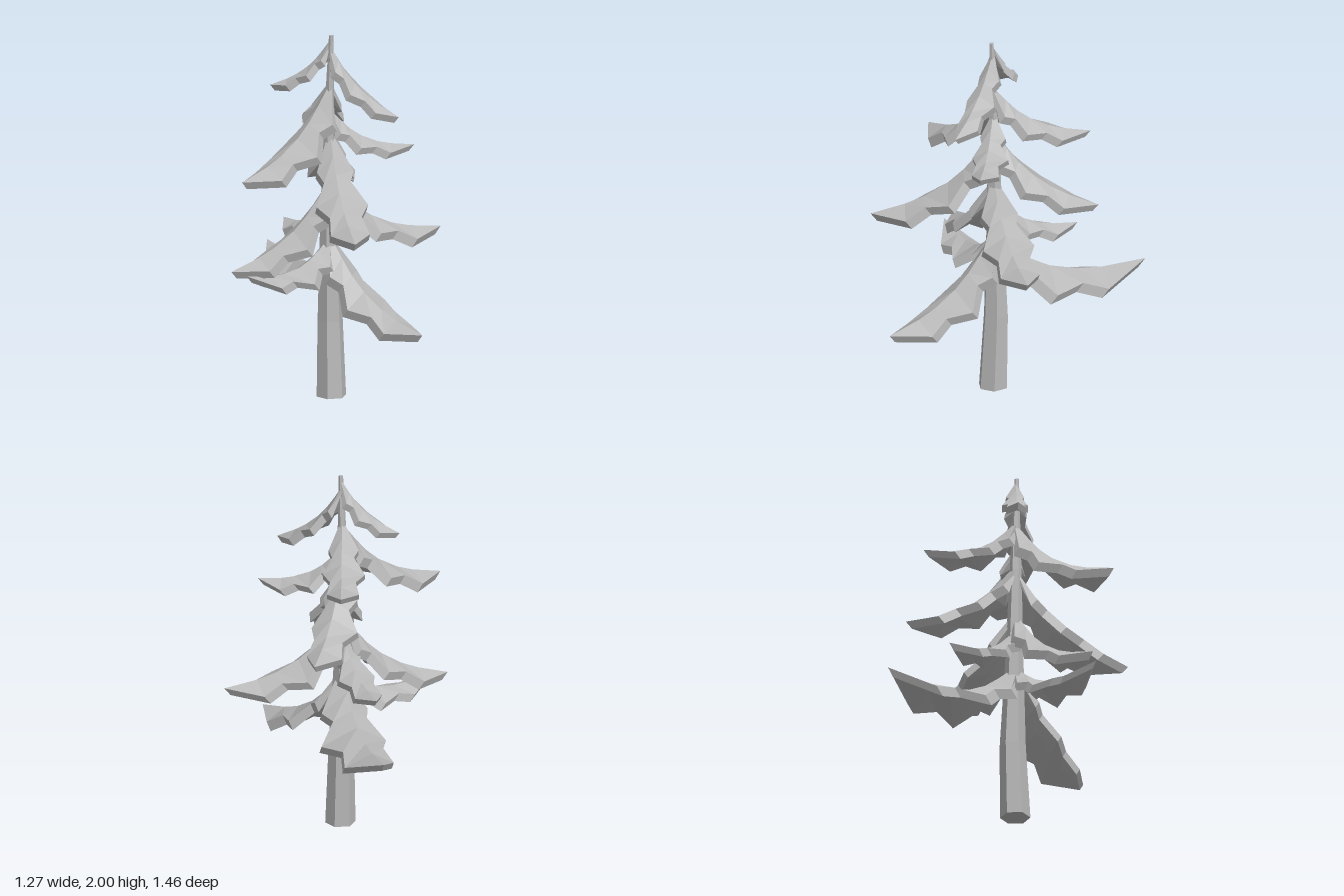
import * as THREE from 'three';

const grey = new THREE.MeshStandardMaterial({ color: 0xb8b8b8, flatShading: true });
grey.name = 'plain grey';

// Trunk stations: height, centre x, centre z, radius
const TRUNK = [
  [0, 0.012, 0.05, 0.082],
  [0.42, 0.018, 0.035, 0.07],
  [0.9, 0.008, 0.035, 0.05],
  [1.45, 0.003, 0.04, 0.032],
  [2, 0.005, 0.055, 0.012],
];

// Branches: root height, tip x, y, z, and which side is the wider one
const BRANCHES = [
  [1.97, -0.18, 1.71, -0.22, -1],
  [1.94, 0.165, 1.58, 0.405, 1],
  [1.74, 0.33, 1.5, -0.365, 1],
  [1.73, -0.638, 1.3, 0.015, 1],
  [1.59, 0.33, 1.39, 0.36, 1],
  [1.49, 0.472, 1.13, -0.317, 1],
  [1.46, -0.36, 1.01, 0.59, 1],
  [1.21, 0.634, 0.86, 0.262, 1],
  [1.2, -0.587, 0.77, -0.115, 1],
  [1.11, 0.13, 0.88, -0.42, 1],
  [0.89, 0.322, 0.66, -0.73, -1],
  [0.88, -0.555, 0.755, -0.03, 1],
  [0.89, 0.013, 0.46, 0.728, 1],
];

// Branch cross-sections, three lobes with notches between:
// distance along, sag, half width and edge drop, all per unit length
const SECTIONS = [
  [0, 0, 0.02, 0.02],
  [0.13, 0.08, 0.15, 0.13],
  [0.24, 0.135, 0.11, 0.06],
  [0.37, 0.162, 0.21, 0.11],
  [0.56, 0.15, 0.13, 0.04],
  [0.72, 0.108, 0.16, 0.08],
  [1, 0, 0, 0],
];

function makeTrunk() {
  const geo = new THREE.CylinderGeometry(1, 1, 1, 6, TRUNK.length - 1);
  const p = geo.attributes.position;
  for (let i = 0; i < p.count; i++) {
    const row = Math.round((p.getY(i) + 0.5) * (TRUNK.length - 1));
    const [y, cx, cz, r] = TRUNK[row];
    p.setXYZ(i, cx + p.getX(i) * r, y, cz + p.getZ(i) * r);
  }
  geo.computeVertexNormals();
  const mesh = new THREE.Mesh(geo, grey);
  mesh.name = 'trunk';
  return mesh;
}

// Folded slab that sags away from the trunk, with lobed edges and a pointed tip
function makeBranch([rootY, tipX, tipY, tipZ, wideSide], index) {
  const root = new THREE.Vector3(0.005, rootY, 0.045);
  const tip = new THREE.Vector3(tipX, tipY, tipZ);
  const out = new THREE.Vector3(tipX - root.x, 0, tipZ - root.z);
  const length = out.length();
  out.normalize();
  const side = new THREE.Vector3(out.z, 0, -out.x);
  const thick = 0.02 + 0.035 * length;
  const points = [];
  const faces = [];

  SECTIONS.forEach(([t, sag, half, drop], row) => {
    const spine = root.clone().lerp(tip, t);
    spine.y -= sag * length;
    const inset = row === 0 ? 0 : thick * 0.8;
    // Ring: edge, ridge, edge on top, then the same underneath
    for (const [s, under] of [[1, 0], [0, 0], [-1, 0], [-1, 1], [0, 1], [1, 1]]) {
      const skew = s === wideSide ? 1.14 : 0.9;
      const v = spine.clone().addScaledVector(side, s * half * length * skew);
      v.y -= Math.abs(s) * drop * length + under * thick;
      v.addScaledVector(out, -under * inset);
      points.push(v.x, v.y, v.z);
    }
  });

  for (let row = 0; row < SECTIONS.length - 1; row++) {
    for (let j = 0; j < 6; j++) {
      const a = row * 6 + j;
      const b = row * 6 + ((j + 1) % 6);
      faces.push(a, b, b + 6, a, b + 6, a + 6);
    }
  }
  // Root cap, facing the trunk
  faces.push(1, 0, 5, 1, 5, 4, 1, 4, 3, 1, 3, 2);

  const indexed = new THREE.BufferGeometry();
  indexed.setAttribute('position', new THREE.Float32BufferAttribute(points, 3));
  indexed.setIndex(faces);
  const geo = indexed.toNonIndexed();
  geo.computeVertexNormals();
  const mesh = new THREE.Mesh(geo, grey);
  mesh.name = `branch${index + 1}`;
  return mesh;
}

export function createModel() {
  const tree = new THREE.Group();
  tree.name = 'tree';
  tree.add(makeTrunk());

  const branches = new THREE.Group();
  branches.name = 'branches';
  BRANCHES.forEach((b, i) => branches.add(makeBranch(b, i)));
  tree.add(branches);
  return tree;
}
